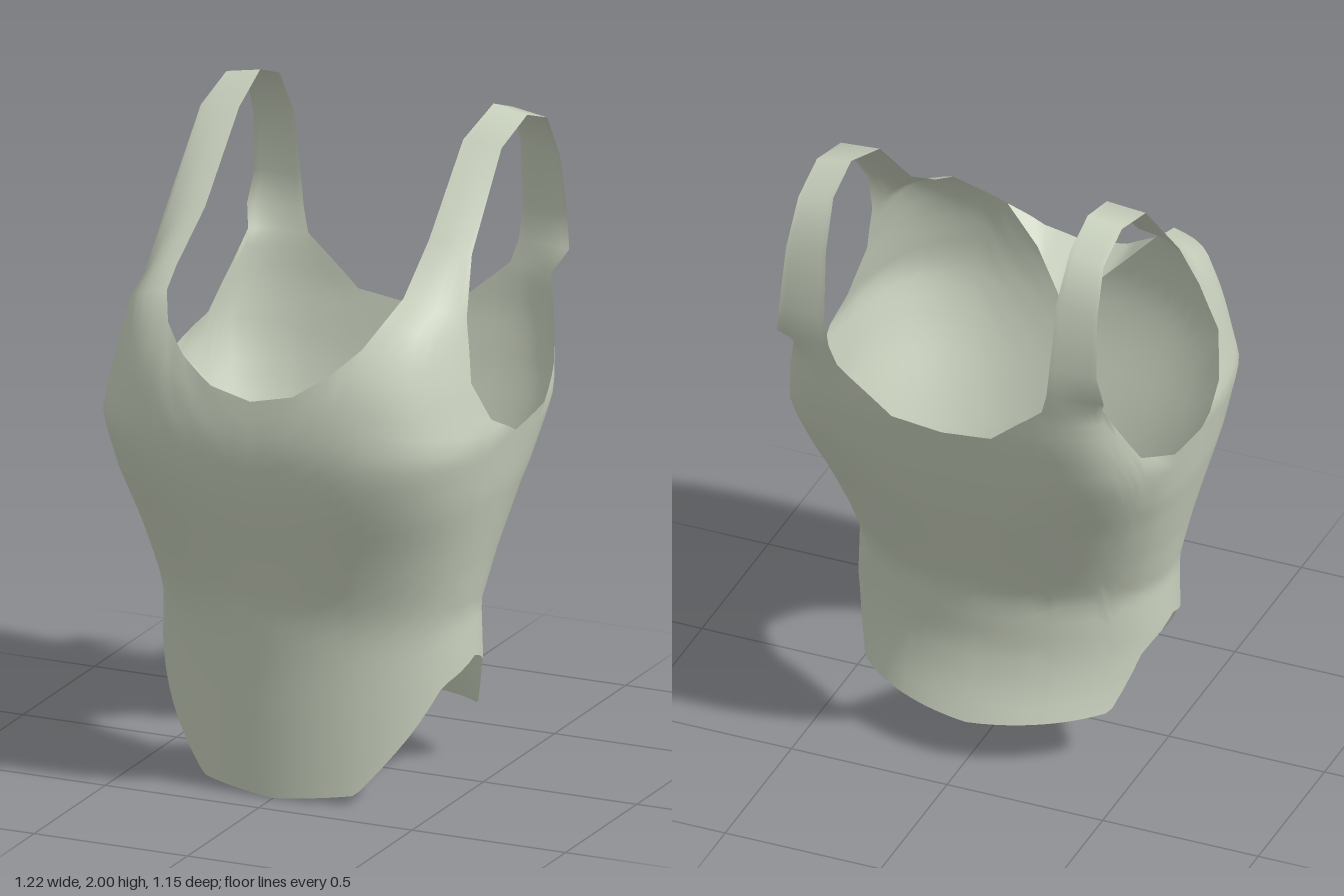
import * as THREE from 'three';
import { mergeGeometries, mergeVertices } from 'three/addons/utils/BufferGeometryUtils.js';

const ZC = 0.04; // depth of the side seam

// piecewise linear lookup in [[key, value], ...]
function lookup(table, k) {
  if (k <= table[0][0]) return table[0][1];
  for (let i = 1; i < table.length; i++) {
    const [k0, v0] = table[i - 1], [k1, v1] = table[i];
    if (k <= k1) return v0 + (v1 - v0) * (k - k0) / (k1 - k0);
  }
  return table[table.length - 1][1];
}

// torso profiles by height: half width, front depth, back depth, squareness
const WIDTH = [[0.41, 0.495], [0.55, 0.49], [0.7, 0.52], [0.95, 0.58], [1.14, 0.61], [1.2, 0.595], [1.37, 0.56], [1.5, 0.545]];
const FRONT = [[0, 0.4], [0.4, 0.415], [0.6, 0.43], [0.75, 0.475], [0.95, 0.54], [1.05, 0.563], [1.15, 0.575], [1.25, 0.565], [1.33, 0.55], [1.4, 0.52], [1.46, 0.48], [1.52, 0.4]];
const BACK = [[0.14, -0.36], [0.25, -0.31], [0.36, -0.283], [0.55, -0.283], [0.7, -0.34], [0.92, -0.435], [1.1, -0.495], [1.28, -0.543], [1.45, -0.565]];
const SQUARE_FRONT = [[0.5, 2], [0.8, 2.5], [1.1, 3.3], [1.5, 3.2]];
const SQUARE_BACK = [[0.55, 2], [0.9, 2.8], [1.2, 4.5], [1.45, 6]];

// point on the torso at plan angle a (0 = front, PI = back) and height y
function torso(a, y) {
  const s = Math.sin(a), c = Math.cos(a), front = c >= 0;
  const n = lookup(front ? SQUARE_FRONT : SQUARE_BACK, y);
  const r = Math.pow(Math.pow(Math.abs(s), n) + Math.pow(Math.abs(c), n), -1 / n);
  const depth = front ? lookup(FRONT, y) - ZC : ZC - lookup(BACK, y);
  return [lookup(WIDTH, y) * s * r, y, ZC + depth * c * r];
}

// [x, y, z] edge point -> [angle, y]
function toAngle([x, y, z]) {
  const depth = z >= ZC ? lookup(FRONT, y) - ZC : ZC - lookup(BACK, y);
  return [Math.atan2(x / lookup(WIDTH, y), (z - ZC) / depth), y];
}

// edges of the left half, running from centre front to centre back
const HEM = [[0, 0.003, 0.4], [0.25, 0.03, 0.36], [0.4, 0.22, 0.27], [0.46, 0.35, 0.19], [0.495, 0.415, 0.04],
  [0.47, 0.35, -0.09], [0.42, 0.175, -0.21], [0.25, 0.16, -0.3], [0, 0.14, -0.36]].map(toAngle);
const TOP = [[0, 1.285, 0.555], [0.13, 1.315, 0.54], [0.24, 1.385, 0.52], [0.32, 1.46, 0.46],
  [0.555, 1.32, 0.22], [0.59, 1.19, 0.15], [0.61, 1.115, 0], [0.6, 1.14, -0.2], [0.58, 1.21, -0.37], [0.53, 1.44, -0.53],
  [0.33, 1.43, -0.56], [0.28, 1.39, -0.55], [0.16, 1.285, -0.545], [0, 1.265, -0.545]].map(toAngle);
const FRONT_BASE = 3, BACK_BASE = 9; // top edge segments that carry the strap
const STRAP_COLS = 8, ROWS = 24;

// strap edges from front base to back base
const STRAP_IN = [[0.355, 1.53, 0.38], [0.37, 1.575, 0.28], [0.365, 1.70, 0.09], [0.365, 1.94, -0.15], [0.38, 2.0, -0.33],
  [0.38, 1.95, -0.465], [0.37, 1.81, -0.545], [0.362, 1.6, -0.577], [0.35, 1.5, -0.572]];
const STRAP_OUT = [[0.545, 1.41, 0.195], [0.525, 1.5, 0.17], [0.5, 1.67, 0.08], [0.49, 1.93, -0.15], [0.49, 1.98, -0.33],
  [0.49, 1.93, -0.47], [0.5, 1.79, -0.54], [0.51, 1.6, -0.57], [0.525, 1.5, -0.55]];
const STRAP_BULGE = [0.9, 0.45, 0.1];

// surface through rows of points; side = -1 mirrors it
function grid(rows, side) {
  const cols = rows[0].length, pos = [], index = [];
  rows.forEach(row => row.forEach(p => pos.push(p[0] * side, p[1], p[2])));
  for (let j = 0; j < rows.length - 1; j++) {
    for (let i = 0; i < cols - 1; i++) {
      const a = j * cols + i, b = a + 1, d = a + cols, c = d + 1;
      if (side > 0) index.push(a, b, c, a, c, d);
      else index.push(a, c, b, a, d, c);
    }
  }
  const g = new THREE.BufferGeometry();
  g.setAttribute('position', new THREE.Float32BufferAttribute(pos, 3));
  g.setIndex(index);
  return g;
}

function smoothMesh(name, geometries, material) {
  const g = mergeVertices(mergeGeometries(geometries), 1e-4);
  g.computeVertexNormals();
  const mesh = new THREE.Mesh(g, material);
  mesh.name = name;
  return mesh;
}

const mix = (p, q, t) => p.map((v, i) => v + (q[i] - v) * t);

export function createModel() {
  const fabric = new THREE.MeshStandardMaterial({ color: 0xc8d0bd, side: THREE.DoubleSide });
  fabric.name = 'pale sage fabric';

  // column angles, with the strap bases remembered
  const angles = [], start = [];
  for (let k = 0; k < TOP.length - 1; k++) {
    const n = k === FRONT_BASE || k === BACK_BASE ? STRAP_COLS : 3;
    start[k] = angles.length;
    for (let i = 0; i < n; i++) angles.push(TOP[k][0] + (TOP[k + 1][0] - TOP[k][0]) * i / n);
  }
  angles.push(Math.PI);

  // torso rows from hem to top edge
  const body = [];
  for (let j = 0; j <= ROWS; j++) {
    body.push(angles.map(a => {
      const y0 = lookup(HEM, a), y1 = lookup(TOP, a);
      return torso(a, y0 + (y1 - y0) * j / ROWS);
    }));
  }
  const topRow = body[ROWS];

  // strap rows, joined to the torso at both ends
  const base = k => topRow.slice(start[k], start[k] + STRAP_COLS + 1);
  const strap = [base(FRONT_BASE)];
  STRAP_IN.forEach((p, k) => {
    const row = [];
    for (let i = 0; i <= STRAP_COLS; i++) {
      const t = i / STRAP_COLS, b = (STRAP_BULGE[k] || 0) * Math.sin(Math.PI * t);
      const q = mix(p, STRAP_OUT[k], t);
      row.push([q[0] + 0.035 * b, q[1] + 0.02 * b, q[2] + 0.06 * b]);
    }
    strap.push(row);
  });
  strap.push(base(BACK_BASE).reverse());

  // pointed facing folded inward from the front neckline
  const edge = topRow.slice(0, 7);
  const fold = edge.map((p, i) => {
    const inner = i <= 3 ? mix([0, 1.165, 0.38], [0.13, 1.275, 0.49], i / 3)
      : mix([0.13, 1.275, 0.49], edge[6], (i - 3) / 3);
    return inner;
  });

  const both = rows => [grid(rows, 1), grid(rows, -1)];
  const model = new THREE.Group();
  model.name = 'tankTop';
  model.add(smoothMesh('bodiceAndStraps', [...both(body), ...both(strap)], fabric));
  model.add(smoothMesh('necklineFacing', both([fold, edge]), fabric));
  return model;
}
